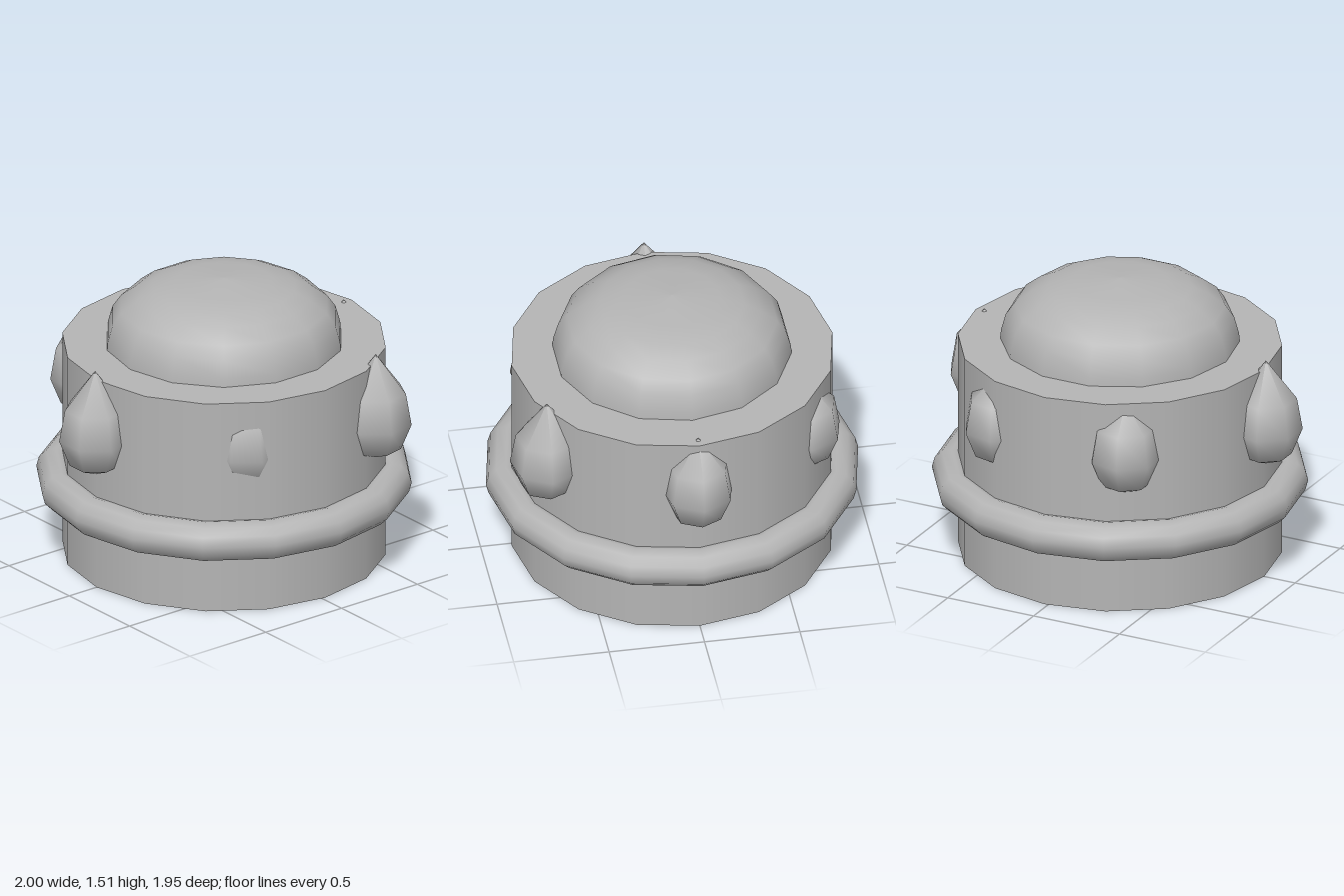
import * as THREE from 'three';

const CX = 0.02; // axis of the round body

export function createModel() {
  const model = new THREE.Group();
  const stone = new THREE.MeshStandardMaterial({ color: 0xb4b4b4 });
  stone.name = 'grey';

  const add = (name, geometry, x, y, z) => {
    const mesh = new THREE.Mesh(geometry, stone);
    mesh.name = name;
    mesh.position.set(x, y, z);
    model.add(mesh);
    return mesh;
  };
  // Turned shape with one corner pointing along +x
  const turned = (points, sides) => new THREE.LatheGeometry(
    points.map(([r, y]) => new THREE.Vector2(r, y)), sides, Math.PI / 2);

  // Sixteen-sided drum
  add('body', new THREE.CylinderGeometry(0.84, 0.84, 1.165, 16), CX, 0.5825, 0);

  // Raised band around the drum
  const band = new THREE.TorusGeometry(0.87, 0.105, 12, 16).rotateX(Math.PI / 2);
  add('band', band, CX, 0.41, 0);

  // Flattened dome on top
  add('dome', turned([
    [0.62, 1.14], [0.615, 1.21], [0.59, 1.3], [0.545, 1.365],
    [0.46, 1.43], [0.375, 1.47], [0.25, 1.497], [0, 1.515],
  ], 14), CX, 0, 0);

  // Teardrop studs, sunk into the drum to differing depths: x, z, tip height
  const studs = [
    [-0.83, 0, 1.22],
    [0.44, 0.73, 1.22],
    [0.81, 0, 1.178],
    [-0.31, 0.6, 1.16],
    [-0.36, -0.665, 1.16],
    [0.39, -0.635, 1.16],
  ];
  studs.forEach(([x, z, tip], i) => {
    const profile = [[0, 0.64], [0.134, 0.7], [0.19, 0.84], [0.16, 1.01], [0, tip]];
    add('stud' + (i + 1), turned(profile, 7), x, 0, z);
  });

  return model;
}
